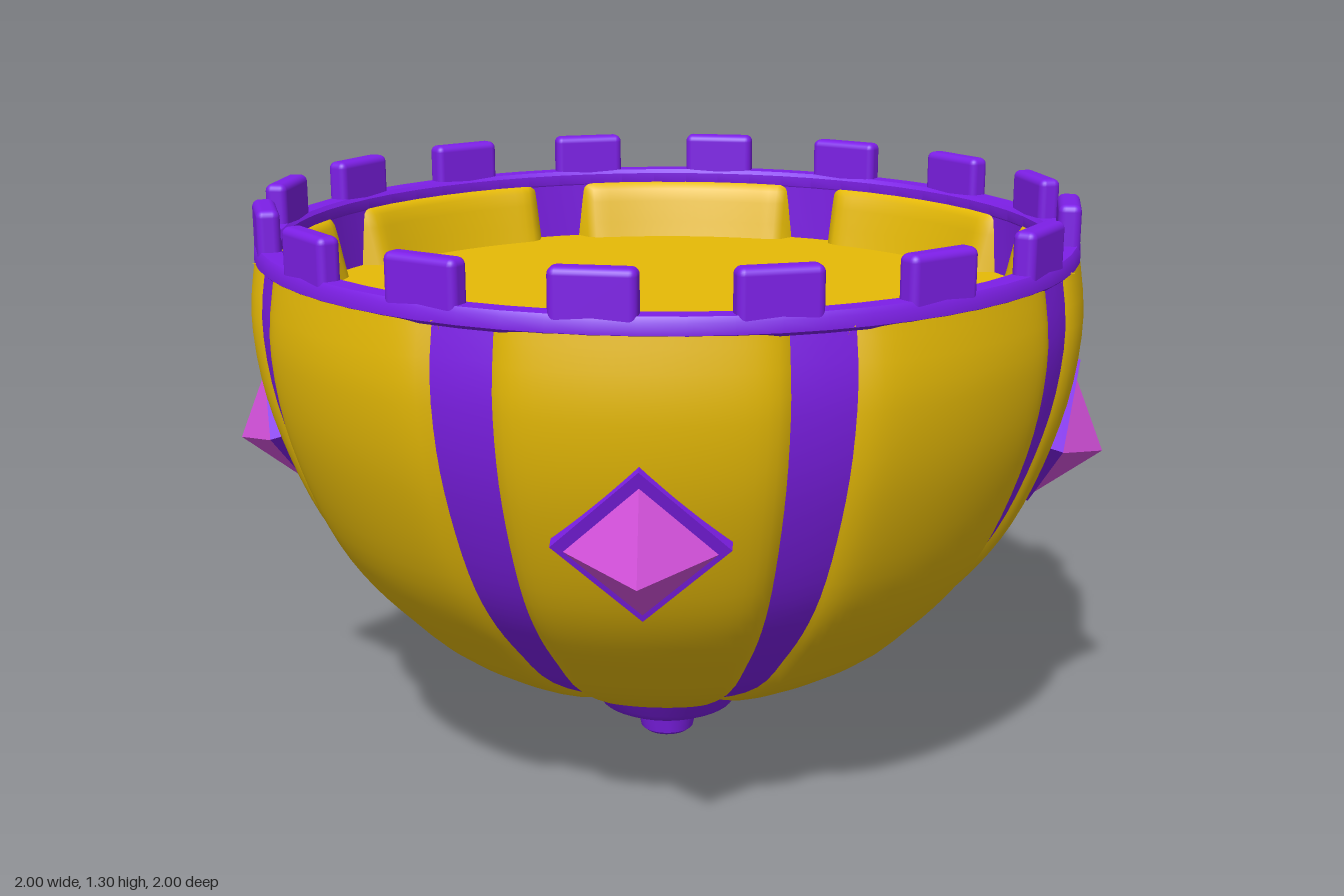
import * as THREE from 'three';
import { toCreasedNormals } from 'three/addons/utils/BufferGeometryUtils.js';
import { RoundedBoxGeometry } from 'three/addons/geometries/RoundedBoxGeometry.js';

const rad = THREE.MathUtils.degToRad;
const material = (name, color) => Object.assign(new THREE.MeshStandardMaterial({ color }), { name });
const points = (list) => list.map(([r, y]) => new THREE.Vector2(r, y));

export function createModel() {
  const gold = material('gold', 0xe6ba06);
  const purple = material('purple', 0x8020ec);
  const pink = material('pink', 0xd852e0);

  const model = new THREE.Group();
  model.name = 'crownedBowl';
  const add = (parent, name, geometry, mat) => {
    const mesh = new THREE.Mesh(geometry, mat);
    mesh.name = name;
    parent.add(mesh);
    return mesh;
  };
  const creasedLathe = (profile, segments) =>
    toCreasedNormals(new THREE.LatheGeometry(points(profile), segments), rad(35));

  // Outer bowl curve, shared by the shell and the padded panels
  const curve = new THREE.SplineCurve(points([
    [0.17, 0.14], [0.36, 0.2], [0.54, 0.295], [0.655, 0.4], [0.745, 0.5], [0.815, 0.61],
    [0.875, 0.755], [0.915, 0.9], [0.93, 1.05], [0.914, 1.185],
  ])).getPoints(28);

  // Shell: the purple bowl seen between the panels, deeper towards the foot
  const shell = curve.map((p) => new THREE.Vector2(p.x - 0.02 - 0.012 * (1 - p.x), p.y + 0.004));
  add(model, 'bowlShell', new THREE.LatheGeometry(shell, 64), purple);
  add(model, 'innerWall', creasedLathe([[0.86, 1.2], [0.86, 1.03]], 64), purple);

  // Floor inside the bowl
  const floor = new THREE.CircleGeometry(0.862, 64);
  floor.rotateX(-Math.PI / 2);
  add(model, 'floor', floor, gold).position.y = 1.045;

  // A lathe sector whose side edges curl towards the wall
  const half = rad(19.3);
  const paddedSector = (profile, curl, power) => {
    const geometry = new THREE.LatheGeometry(profile, 28, -half, half * 2);
    const pos = geometry.attributes.position;
    for (let i = 0; i < pos.count; i++) {
      const x = pos.getX(i), z = pos.getZ(i);
      const angle = Math.atan2(x, z);
      const r = Math.hypot(x, z) + curl * Math.pow(Math.abs(angle / half), power);
      pos.setX(i, r * Math.sin(angle));
      pos.setZ(i, r * Math.cos(angle));
    }
    geometry.computeVertexNormals();
    return geometry;
  };
  const outerPanel = paddedSector(curve, -0.036, 9);
  const innerPanel = paddedSector(points([
    [0.866, 1.182], [0.85, 1.18], [0.839, 1.165], [0.83, 1.135], [0.818, 1.085], [0.805, 1.035],
  ]), 0.06, 18);
  for (let i = 0; i < 8; i++) {
    add(model, 'outerPanel', outerPanel, gold).rotation.y = i * Math.PI / 4;
    add(model, 'innerPanel', innerPanel, gold).rotation.y = i * Math.PI / 4;
  }

  // Rim band with rounded edges
  add(model, 'rim', creasedLathe([
    [0.858, 1.18], [0.865, 1.17], [0.907, 1.17], [0.917, 1.178], [0.916, 1.202],
    [0.909, 1.213], [0.866, 1.213], [0.858, 1.204], [0.858, 1.18],
  ], 64), purple);

  // Sixteen battlements on the rim
  const merlon = new RoundedBoxGeometry(0.172, 0.125, 0.05, 3, 0.016);
  merlon.translate(0, 1.2395, 0.887);
  for (let i = 0; i < 16; i++) {
    add(model, 'battlement', merlon, purple).rotation.y = rad(16.9 + i * 22.5);
  }

  // Stepped foot under the bowl
  add(model, 'foot', creasedLathe([
    [0, 0], [0.052, 0], [0.062, 0.008], [0.076, 0.07], [0.14, 0.073], [0.158, 0.082],
    [0.168, 0.095], [0.196, 0.134], [0.192, 0.146], [0.18, 0.15], [0, 0.15],
  ], 40), purple);

  // Four faceted gems on diamond plates, tilted to follow the bowl
  const faceted = (geometry) => {
    const flat = geometry.toNonIndexed();
    flat.computeVertexNormals();
    return flat;
  };
  const plate = faceted(new THREE.CylinderGeometry(0.176, 0.176, 0.06, 4).rotateX(Math.PI / 2));
  plate.translate(0, 0, -0.03);
  const gemStone = faceted(new THREE.ConeGeometry(0.15, 0.12, 4).rotateX(Math.PI / 2));
  gemStone.translate(0, -0.01, 0.06);
  for (let i = 0; i < 4; i++) {
    const side = new THREE.Group();
    side.name = 'gemMount';
    side.rotation.y = i * Math.PI / 2;
    const mount = new THREE.Group();
    mount.name = 'gem';
    mount.position.set(0, 0.753, 0.887);
    mount.rotation.x = rad(17);
    add(mount, 'gemPlate', plate, purple);
    add(mount, 'gemStone', gemStone, pink);
    side.add(mount);
    model.add(side);
  }
  return model;
}
